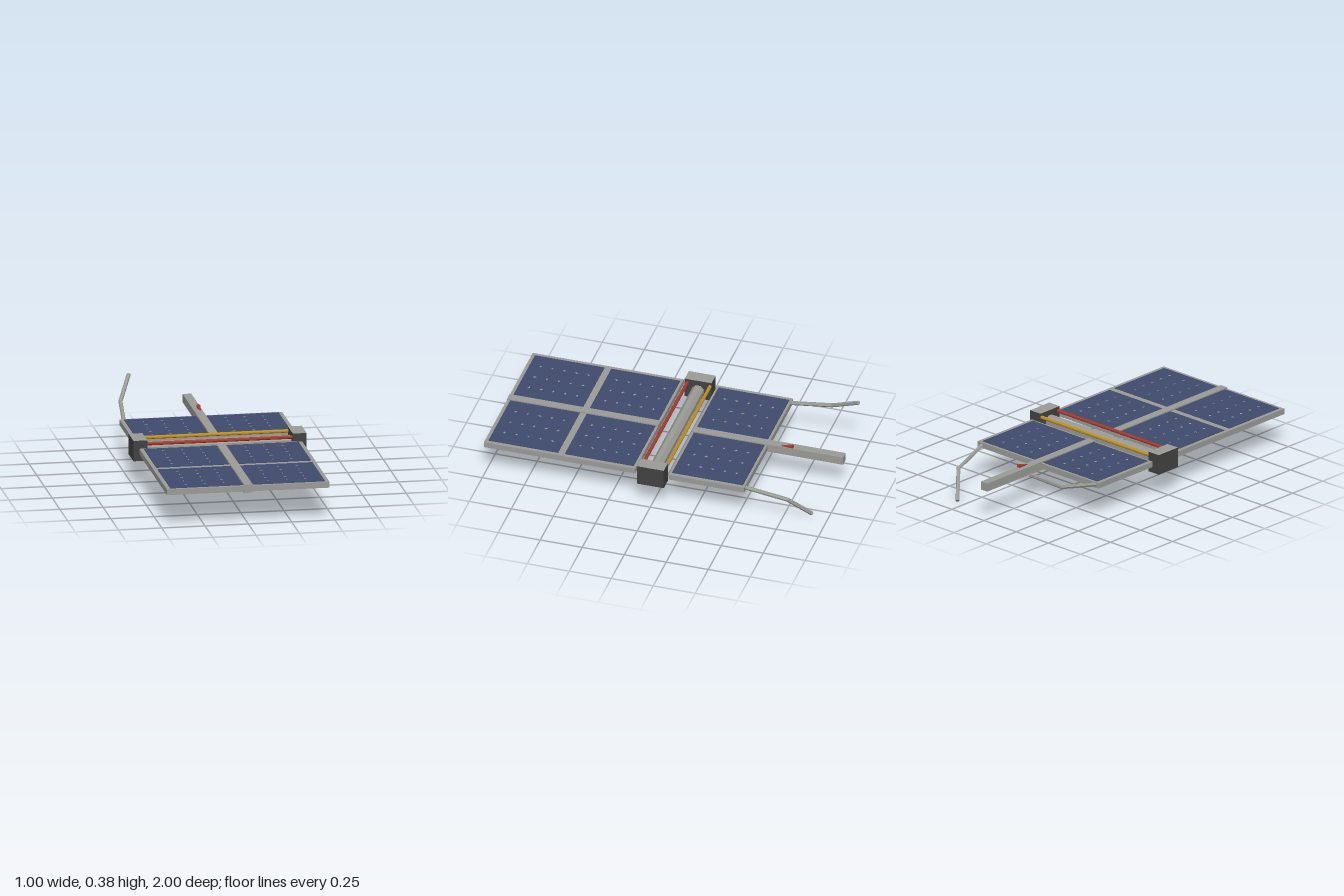
import * as THREE from 'three';

const material = (name, color) => {
  const m = new THREE.MeshStandardMaterial({ color, flatShading: true });
  m.name = name;
  return m;
};

export function createModel() {
  const model = new THREE.Group();
  const grey = material('frame grey', 0x9b9c96);
  const dark = material('housing charcoal', 0x424242);
  const blue = material('solar cell blue', 0x3f4a6e);
  const red = material('red', 0xa83a2b);
  const yellow = material('amber', 0xc08e20);

  const add = (name, geometry, mat, x = 0, y = 0, z = 0, parent = model) => {
    const mesh = new THREE.Mesh(geometry, mat);
    mesh.name = name;
    mesh.position.set(x, y, z);
    parent.add(mesh);
    return mesh;
  };
  // box from min and max corners
  const box = (name, mat, [x0, y0, z0], [x1, y1, z1], parent) =>
    add(name, new THREE.BoxGeometry(x1 - x0, y1 - y0, z1 - z0), mat,
      (x0 + x1) / 2, (y0 + y1) / 2, (z0 + z1) / 2, parent);
  // straight bar between two points
  const bar = (name, mat, a, b, r, sides, parent) => {
    const p = new THREE.Vector3(...a), q = new THREE.Vector3(...b);
    const dir = q.clone().sub(p);
    const geo = new THREE.CylinderGeometry(r, r, dir.length(), sides);
    geo.rotateY(Math.PI / sides);
    const mesh = add(name, geo, mat, 0, 0, 0, parent);
    mesh.position.copy(p).add(q).multiplyScalar(0.5);
    mesh.quaternion.setFromUnitVectors(new THREE.Vector3(0, 1, 0), dir.normalize());
    return mesh;
  };

  // cross-shaped contact between cells
  const s = 0.011, t = 0.003;
  const contactGeo = new THREE.ShapeGeometry(new THREE.Shape(
    [[s, 0], [t, t], [0, s], [-t, t], [-s, 0], [-t, -t], [0, -s], [t, -t]]
      .map(([x, y]) => new THREE.Vector2(x, y))));

  // one blue cell field with contacts, on both faces of the panel
  const cellField = (parent, side, z0, z1) => {
    const w = 0.42, cx = side * 0.237, cz = (z0 + z1) / 2, d = z1 - z0;
    for (const up of [1, -1]) {
      add('solarCells', new THREE.BoxGeometry(w, 0.003, d), blue, cx, 0.2115 + up * 0.0175, cz, parent);
      for (let i = -1; i <= 1; i++) for (let j = -2; j <= 2; j++) {
        const c = add('cellContact', contactGeo, grey, cx + i * 0.109, 0.2115 + up * 0.0196, cz + j * 0.0715, parent);
        c.rotation.x = -up * Math.PI / 2;
      }
    }
  };

  // panels and their centre spars
  const panel = (name, z0, z1, spar0, spar1, fields) => {
    const g = new THREE.Group();
    g.name = name;
    model.add(g);
    box('panelFrame', grey, [-0.47, 0.195, z0], [0.47, 0.228, z1], g);
    box('centreSpar', grey, [-0.025, 0.187, spar0], [0.025, 0.236, spar1], g);
    for (const [a, b] of fields) for (const side of [-1, 1]) cellField(g, side, a, b);
  };
  panel('frontPanel', 0.1, 1, 0.1, 1, [[0.115, 0.525], [0.565, 0.98]]);
  panel('rearPanel', -0.55, -0.1, -1, -0.1, [[-0.535, -0.113]]);

  // end housings: grey top and bottom, dark sides
  for (const side of [-1, 1])
    add(side > 0 ? 'leftHousing' : 'rightHousing', new THREE.BoxGeometry(0.08, 0.12, 0.16),
      [dark, dark, grey, grey, dark, dark], side * 0.46, 0.21, 0);

  // cross beam and rails between the housings
  bar('crossBeam', grey, [-0.42, 0.204, 0], [0.42, 0.204, 0], 0.037, 8);
  bar('redRail', red, [-0.42, 0.246, 0.065], [0.42, 0.246, 0.065], 0.01, 8);
  bar('amberRail', yellow, [-0.42, 0.246, -0.071], [0.42, 0.246, -0.071], 0.01, 8);

  // bent arms trailing from the rear corners
  const arm = (name, pts) => {
    const g = new THREE.Group();
    g.name = name;
    model.add(g);
    for (let i = 1; i < pts.length; i++) bar('armSegment', grey, pts[i - 1], pts[i], 0.012, 6, g);
    add('armJoint', new THREE.IcosahedronGeometry(0.012, 1), grey, ...pts[1], g);
  };
  arm('rightArm', [[-0.445, 0.212, -0.54], [-0.42, 0.265, -0.8], [-0.34, 0.372, -0.98]]);
  arm('leftArm', [[0.44, 0.212, -0.54], [0.4, 0.15, -0.785], [0.3, 0.012, -0.9]]);

  // small red pointer on the rear spar
  const pointerGeo = new THREE.CylinderGeometry(0.013, 0.005, 0.07, 6);
  pointerGeo.rotateX(-Math.PI / 2);
  add('pointer', pointerGeo, red, 0.012, 0.239, -0.665).rotation.x = 0.15;

  return model;
}
